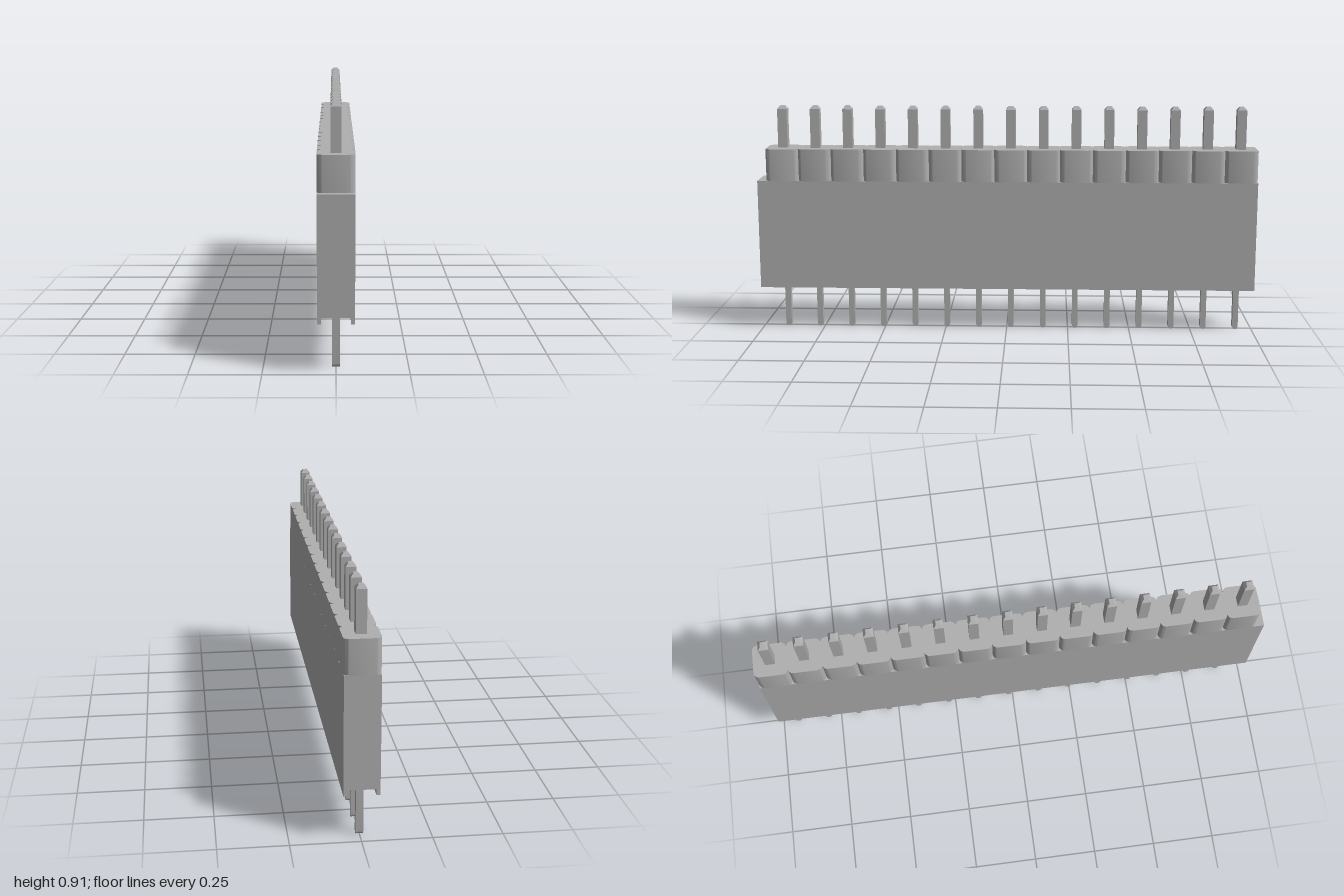
import * as THREE from 'three';
import { toCreasedNormals } from 'three/addons/utils/BufferGeometryUtils.js';

const COUNT = 15, PITCH = 1.966 / COUNT, FRONT = 0.966;

export function createModel() {
  const model = new THREE.Group();
  const grey = new THREE.MeshStandardMaterial({ color: 0xb0b0b0 });
  grey.name = 'plain grey';

  const add = (name, geometry, parent = model) => {
    const mesh = new THREE.Mesh(toCreasedNormals(geometry, 0.6), grey);
    mesh.name = name;
    parent.add(mesh);
    return mesh;
  };

  // Housing: a long block with a channel between two bottom rails
  const profile = new THREE.Shape([
    [-0.064, 0.174], [-0.05, 0.174], [-0.05, 0.196], [0.05, 0.196],
    [0.05, 0.174], [0.064, 0.174], [0.064, 0.614], [-0.064, 0.614],
  ].map(([x, y]) => new THREE.Vector2(x, y)));
  const housing = new THREE.ExtrudeGeometry(profile, { depth: 2, bevelEnabled: false });
  housing.translate(0, 0, -1);
  add('housing', housing);

  // Header: a strip of cells with rounded corners, leaving grooves between them
  const outer = 0.0655, inner = 0.046, round = 0.021;
  const outline = new THREE.Shape();
  outline.moveTo(inner, -FRONT);
  for (let i = 0; i < COUNT; i++) {
    const a = -FRONT + i * PITCH, b = a + PITCH;
    outline.quadraticCurveTo(outer - 0.002, a + 0.002, outer, a + round);
    outline.lineTo(outer, b - round);
    outline.quadraticCurveTo(outer - 0.002, b - 0.002, inner, b);
  }
  outline.lineTo(-inner, -FRONT + COUNT * PITCH);
  for (let i = COUNT - 1; i >= 0; i--) {
    const a = -FRONT + i * PITCH, b = a + PITCH;
    outline.quadraticCurveTo(-outer + 0.002, b - 0.002, -outer, b - round);
    outline.lineTo(-outer, a + round);
    outline.quadraticCurveTo(-outer + 0.002, a + 0.002, -inner, a);
  }
  const header = new THREE.ExtrudeGeometry(outline, { depth: 0.129, bevelEnabled: false, curveSegments: 6 });
  header.rotateX(-Math.PI / 2);
  header.translate(0, 0.613, 0);
  add('header', header);

  // Square prism with given half widths at top and bottom
  const prism = (top, bottom, y0, y1) => new THREE.CylinderGeometry(top * Math.SQRT2, bottom * Math.SQRT2, y1 - y0, 4)
    .rotateY(Math.PI / 4).translate(0, (y0 + y1) / 2, 0);
  const upperPin = prism(0.019, 0.019, 0.74, 0.898);
  const pinTip = prism(0.009, 0.019, 0.898, 0.911);

  // Flat lower pin, rounded at its end along the row
  const w = 0.0115, t = 0.0135;
  const blade = new THREE.Shape();
  blade.moveTo(-w, 0.2);
  blade.lineTo(-w, 0.014);
  blade.quadraticCurveTo(-w, 0, 0, 0);
  blade.quadraticCurveTo(w, 0, w, 0.014);
  blade.lineTo(w, 0.2);
  const lowerPin = new THREE.ExtrudeGeometry(blade, { depth: 2 * t, bevelEnabled: false, curveSegments: 5 });
  lowerPin.translate(0, 0, -t);
  lowerPin.rotateY(Math.PI / 2);

  // Row of pins, one in each cell
  for (let i = 0; i < COUNT; i++) {
    const pin = new THREE.Group();
    pin.name = `pin${i + 1}`;
    pin.position.z = FRONT - (i + 0.5) * PITCH;
    add('upperPin', upperPin, pin);
    add('pinTip', pinTip, pin);
    add('lowerPin', lowerPin, pin);
    model.add(pin);
  }
  return model;
}
